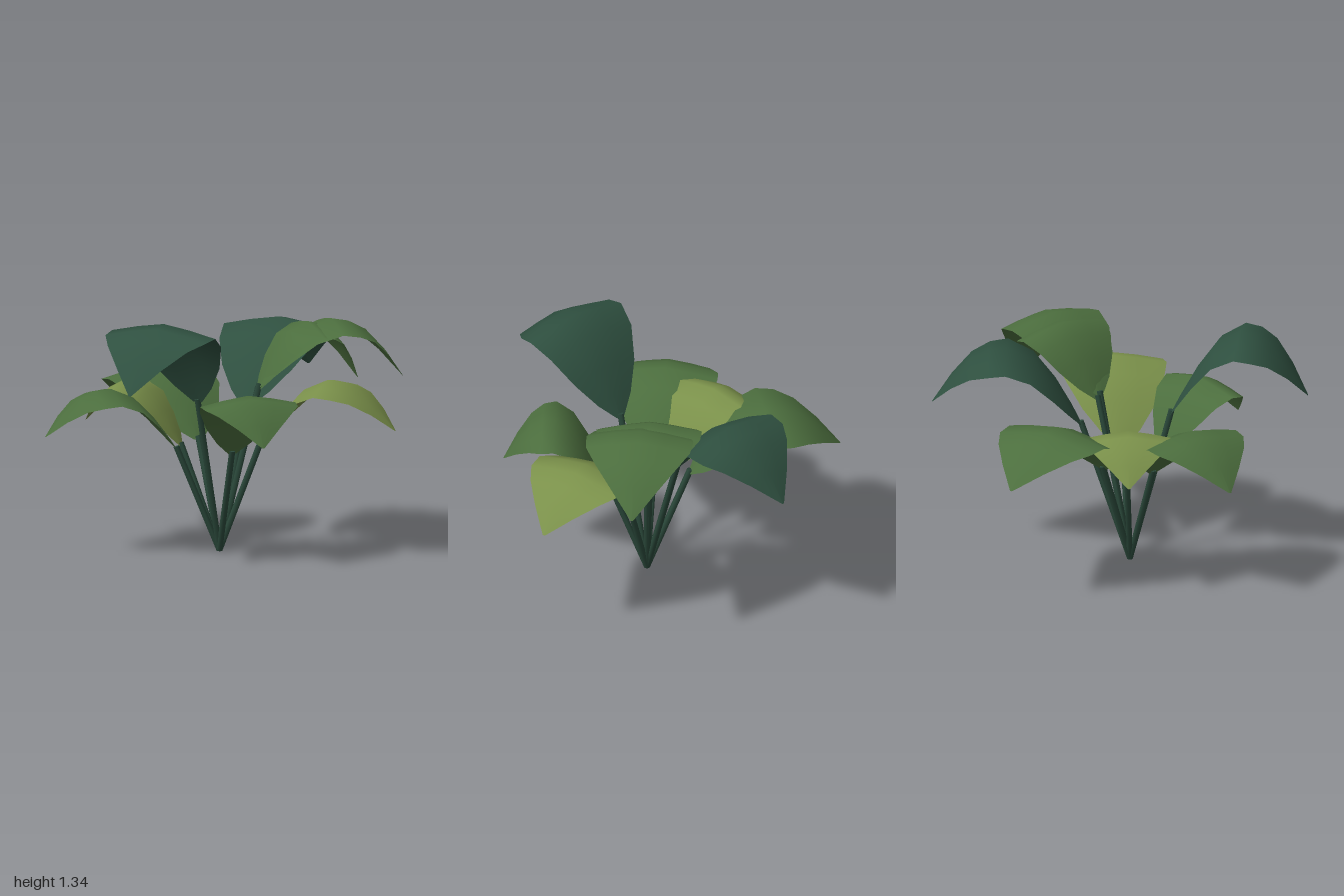
import * as THREE from 'three';

const ROOT = new THREE.Vector3(-0.03, 0, 0.09);

// Leaf stations from stalk to tip: distance, half width, rise to the crest then fall
const ALONG = [0, 0.07, 0.18, 0.33, 0.5, 0.62, 0.74, 0.87, 1];
const WIDTH = [0.08, 0.36, 0.66, 0.89, 1, 0.97, 0.77, 0.43, 0.02];
const RISE = [0, 0.22, 0.53, 0.85, 1];
const FALL = [0, 0.05, 0.2, 0.54, 1];

const green = 0x4c6e3e, olive = 0x7a904a, dark = 0x2f5040;

// base and tip are [x, y, z]; crest is the height of the arch
const LEAVES = [
  { name: 'frontLeaf', base: [0.015, 0.575, 0.31], tip: [0.125, 0.685, 0.86], crest: 0.935, half: 0.275, color: green },
  { name: 'frontLeftLeaf', base: [0.18, 0.58, 0.16], tip: [0.9, 0.705, 0.45], crest: 0.97, half: 0.3, color: olive },
  { name: 'frontRightLeaf', base: [-0.17, 0.86, 0.27], tip: [-0.615, 0.99, 0.88], crest: 1.34, half: 0.325, color: dark },
  { name: 'rightLeaf', base: [-0.265, 0.57, 0.1], tip: [-1, 0.66, 0.17], crest: 0.915, half: 0.295, color: green },
  { name: 'smallRightLeaf', base: [-0.225, 0.57, -0.04], tip: [-0.72, 0.68, -0.31], crest: 0.92, half: 0.25, color: olive },
  { name: 'backRightLeaf', base: [-0.12, 0.59, -0.13], tip: [-0.45, 0.69, -0.9], crest: 0.945, half: 0.325, color: green },
  { name: 'backLeftLeaf', base: [0.14, 0.77, -0.12], tip: [0.565, 0.89, -0.82], crest: 1.205, half: 0.32, color: dark },
  { name: 'largeLeftLeaf', base: [0.195, 0.9, 0.03], tip: [1, 0.93, -0.07], crest: 1.262, half: 0.295, color: green },
  { name: 'innerLeftLeaf', base: [0.19, 0.88, 0.015], tip: [0.755, 0.92, -0.1], crest: 1.245, half: 0.29, color: green },
];

// Arched blade: a grid bent along the midrib, its sides drooping
function leafGeometry({ base, tip, crest, half }) {
  const rows = ALONG.length - 1, cols = 4;
  const geo = new THREE.PlaneGeometry(1, 1, cols, rows);
  const pos = geo.attributes.position;
  const dx = tip[0] - base[0], dz = tip[2] - base[2], len = Math.hypot(dx, dz);
  for (let i = 0; i < pos.count; i++) {
    const k = rows - Math.floor(i / (cols + 1));
    const side = pos.getX(i) * 2;
    const offset = side * WIDTH[k] * half;
    const spine = k <= 4
      ? base[1] + (crest - base[1]) * RISE[k]
      : crest - (crest - tip[1]) * FALL[k - 4];
    const droop = 0.18 * Math.abs(offset) * (0.65 + 0.35 * Math.abs(side));
    pos.setXYZ(i,
      base[0] + dx * ALONG[k] - (dz / len) * offset,
      spine - droop,
      base[2] + dz * ALONG[k] + (dx / len) * offset);
  }
  geo.computeVertexNormals();
  return geo;
}

// Straight six-sided stalk from the root to the leaf
function stalk(base, material) {
  const end = new THREE.Vector3(...base);
  const dir = end.clone().sub(ROOT);
  const length = dir.length() + 0.01;
  const mesh = new THREE.Mesh(new THREE.CylinderGeometry(0.018, 0.018, length, 6), material);
  mesh.quaternion.setFromUnitVectors(new THREE.Vector3(0, 1, 0), dir.normalize());
  mesh.position.copy(ROOT).addScaledVector(dir, length / 2);
  mesh.position.y += 0.005;
  mesh.name = 'stalk';
  return mesh;
}

export function createModel() {
  const model = new THREE.Group();
  model.name = 'pottedLeafPlant';
  const stalkMaterial = new THREE.MeshStandardMaterial({ color: 0x2a483a });
  const blades = {};
  for (const color of [green, olive, dark]) {
    blades[color] = new THREE.MeshStandardMaterial({ color, side: THREE.DoubleSide });
  }
  for (const leaf of LEAVES) {
    const group = new THREE.Group();
    group.name = leaf.name;
    const blade = new THREE.Mesh(leafGeometry(leaf), blades[leaf.color]);
    blade.name = 'blade';
    group.add(blade, stalk(leaf.base, stalkMaterial));
    model.add(group);
  }
  return model;
}
